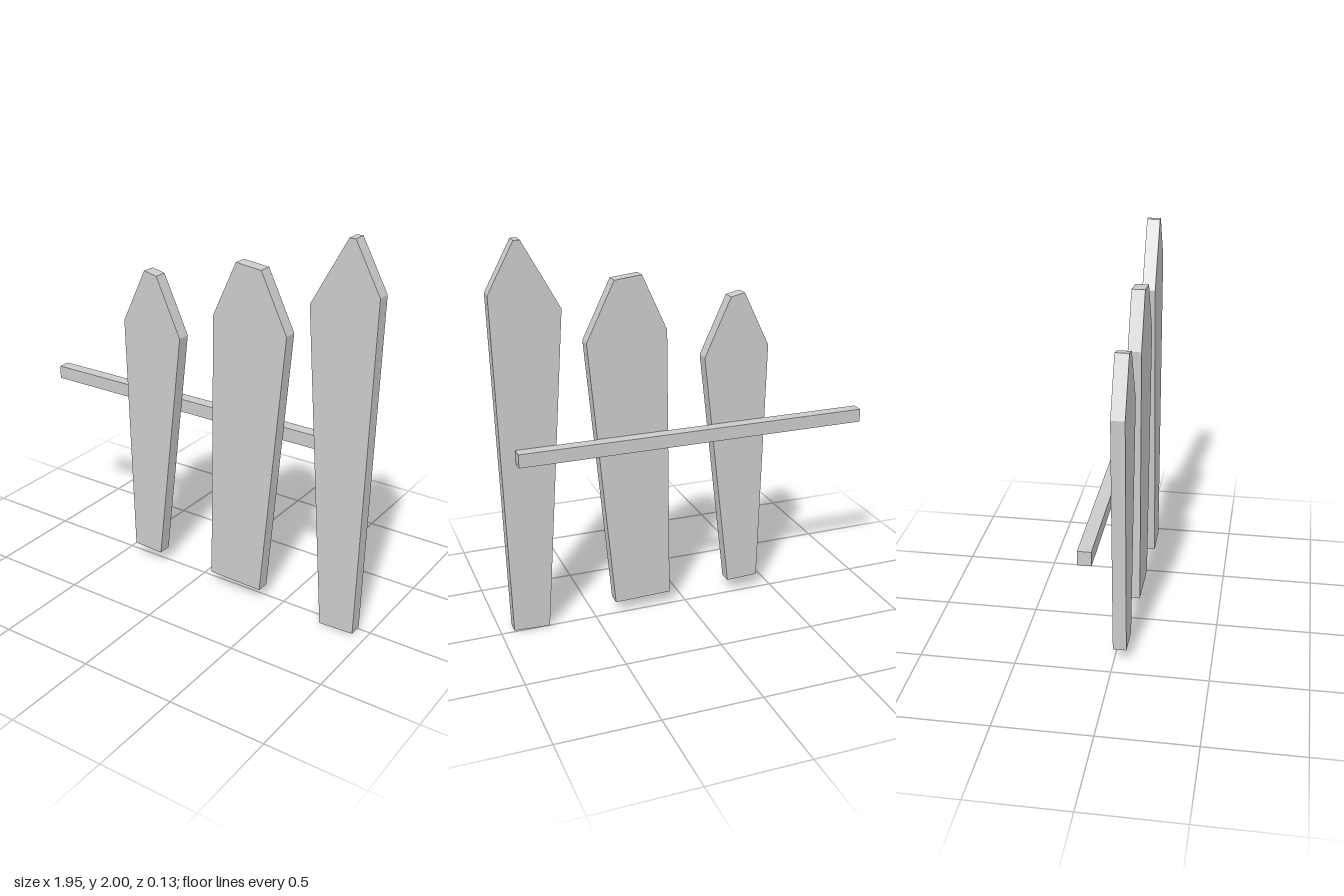
import * as THREE from 'three';

const SPLIT = -0.003; // plane where the pickets meet the rail
const DEPTH = 0.07;

// Outlines run counter-clockwise from the bottom left corner
const PICKETS = {
  shortPicket: [[-0.415, 0.08], [-0.246, 0.074], [-0.106, 1.344], [-0.246, 1.645], [-0.32, 1.661], [-0.455, 1.378]],
  middlePicket: [[0.09, 0.07], [0.389, 0.063], [0.508, 1.481], [0.362, 1.778], [0.222, 1.794], [0.095, 1.511]],
  tallPicket: [[0.749, 0], [0.934, 0.008], [0.972, 1.754], [0.839, 2], [0.807, 2], [0.624, 1.664]],
};

export function createModel() {
  const group = new THREE.Group();
  group.name = 'picketFence';
  const wood = new THREE.MeshStandardMaterial({ color: 0xcccccc, flatShading: true });

  const add = (name, geometry) => {
    const mesh = new THREE.Mesh(geometry, wood);
    mesh.name = name;
    group.add(mesh);
    return mesh;
  };

  // Crooked pointed pickets
  for (const [name, points] of Object.entries(PICKETS)) {
    const shape = new THREE.Shape(points.map(([x, y]) => new THREE.Vector2(x, y)));
    const geometry = new THREE.ExtrudeGeometry(shape, { depth: DEPTH, bevelEnabled: false });
    add(name, geometry).position.z = SPLIT;
  }

  // Horizontal rail behind the pickets
  const railDepth = 0.064;
  add('rail', new THREE.BoxGeometry(1.858, 0.07, railDepth)).position.set(-0.048, 0.95, SPLIT - railDepth / 2);

  return group;
}
